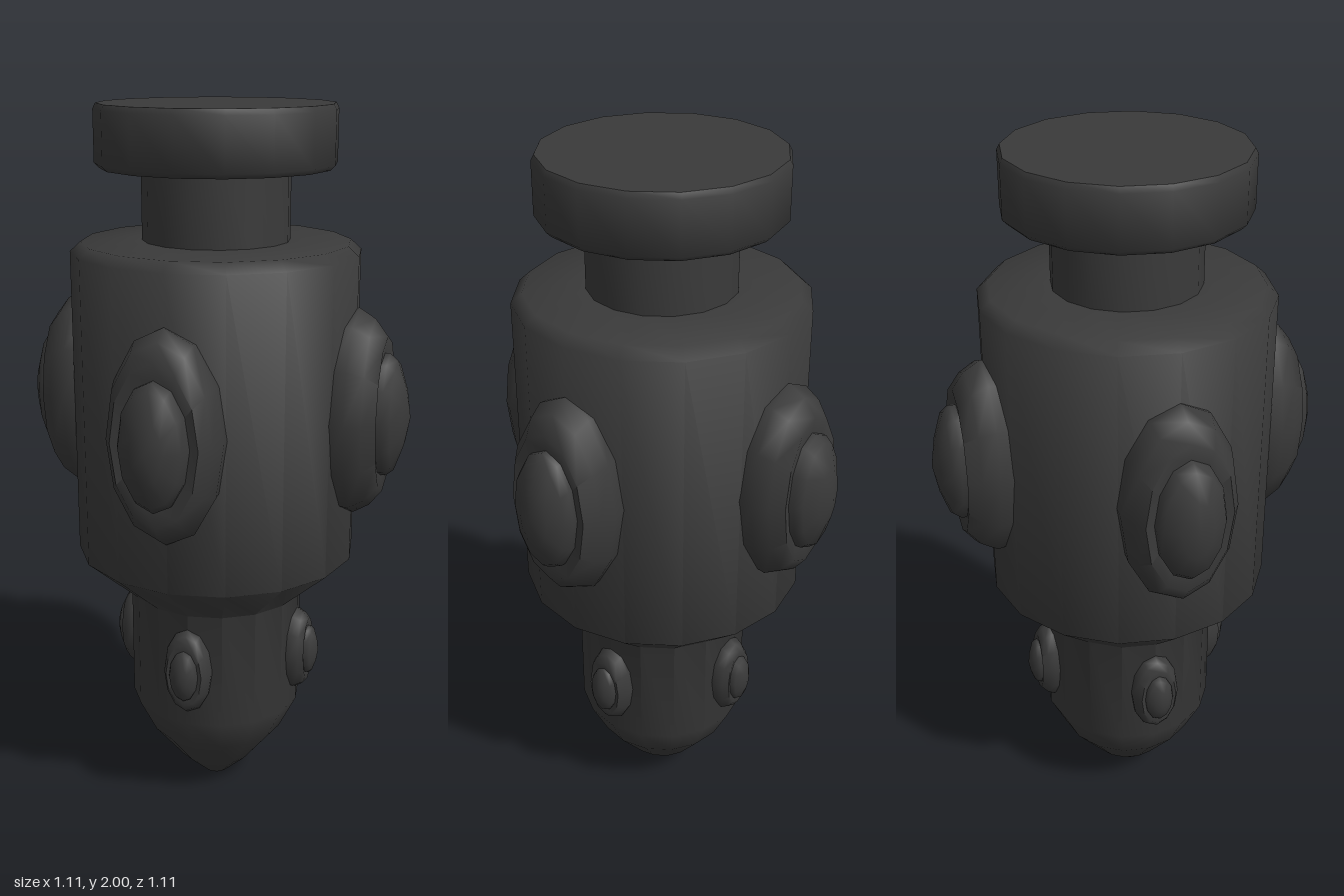
import * as THREE from 'three';
import { toCreasedNormals } from 'three/addons/utils/BufferGeometryUtils.js';

const material = new THREE.MeshStandardMaterial({ color: 0x3a3a3a });

// Turned solid from [radius, height] pairs, listed bottom to top
function turned(profile, sides) {
  return new THREE.LatheGeometry(profile.map(([r, y]) => new THREE.Vector2(r, y)), sides);
}

function addPart(parent, name, geometry, crease = 0.9) {
  const mesh = new THREE.Mesh(toCreasedNormals(geometry, crease), material);
  mesh.name = name;
  parent.add(mesh);
  return mesh;
}

// Oval stud: outer collar and inner dome, pointing along +z with its tip at z = 0
function createStud(name) {
  const stud = new THREE.Group();
  stud.name = name;
  const oval = (profile) => turned(profile, 12).scale(1, 1, 1.82).rotateX(Math.PI / 2);
  addPart(stud, 'collar', oval([
    [0.13, -0.26], [0.155, -0.2], [0.16, -0.15], [0.145, -0.105], [0.12, -0.07], [0.09, -0.078], [0, -0.078],
  ]), 1.1);
  addPart(stud, 'dome', oval([
    [0.095, -0.1], [0.095, -0.062], [0.085, -0.04], [0.045, -0.015], [0, 0],
  ]), 1.1);
  return stud;
}

export function createModel() {
  const model = new THREE.Group();
  model.name = 'studdedPlug';

  // Main body with a tapered nose
  addPart(model, 'body', turned([
    [0, 0], [0.035, 0], [0.11, 0.07], [0.2, 0.18], [0.25, 0.28], [0.25, 0.62],
    [0.4, 0.75], [0.4, 1.61], [0.37, 1.637], [0.2, 1.64], [0, 1.64],
  ], 16));

  // Neck and cap
  addPart(model, 'neck', turned([[0.203, 1.62], [0.203, 1.85]], 16));
  addPart(model, 'cap', turned([
    [0, 1.825], [0.2, 1.825], [0.315, 1.832], [0.328, 1.845], [0.328, 1.985], [0.32, 2], [0, 2],
  ], 16));

  // Four large and four small studs around the body
  const rows = [
    { name: 'largeStud', y: 1.185, reach: 0.556, scale: 1 },
    { name: 'smallStud', y: 0.45, reach: 0.316, scale: 0.44 },
  ];
  for (const { name, y, reach, scale } of rows) {
    for (let i = 0; i < 4; i++) {
      const angle = (i * Math.PI) / 2;
      const stud = createStud(name);
      stud.position.set(Math.sin(angle) * reach, y, Math.cos(angle) * reach);
      stud.rotation.y = angle;
      stud.scale.setScalar(scale);
      model.add(stud);
    }
  }
  return model;
}
